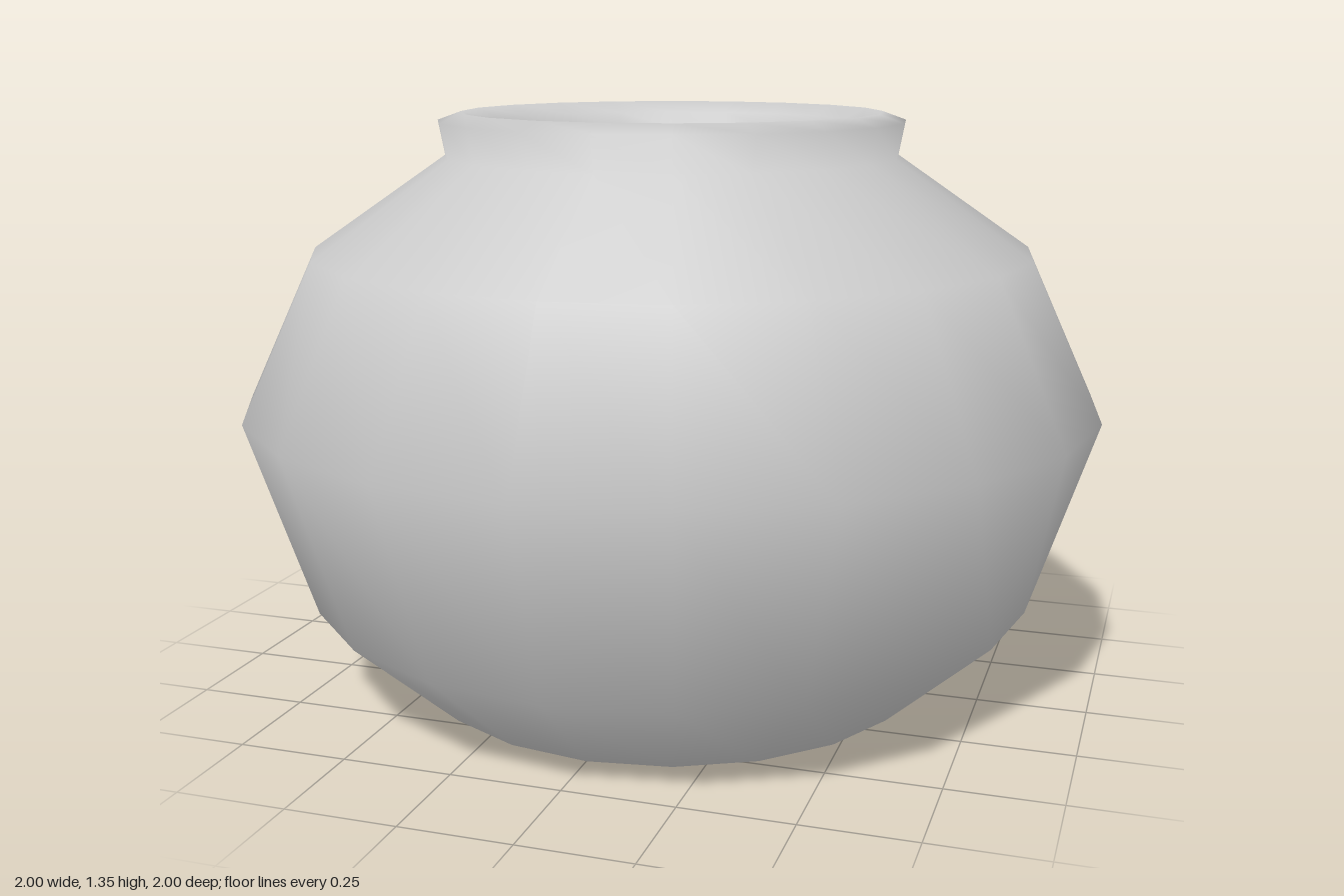
import * as THREE from 'three';

const SIDES = 20;

export function createModel() {
  const clay = new THREE.MeshStandardMaterial({ color: 0xcccccc });
  clay.name = 'grey clay';
  const group = new THREE.Group();
  group.name = 'pot';

  const add = (name, geometry) => {
    const mesh = new THREE.Mesh(geometry, clay);
    mesh.name = name;
    group.add(mesh);
    return mesh;
  };
  const lathe = (profile) =>
    new THREE.LatheGeometry(profile.map(([r, y]) => new THREE.Vector2(r, y)), SIDES);

  // Round body, neck and rolled lip, down to the inside of the mouth
  add('bodyAndRim', lathe([
    [0.6, 0], [0.85, 0.225], [1, 0.68], [0.835, 1.035], [0.525, 1.25],
    [0.54, 1.33], [0.485, 1.35], [0.435, 1.325], [0.42, 1.29],
  ]));

  // Straight wall inside the neck
  add('mouthWall', lathe([[0.42, 1.29], [0.42, 1.17]]));

  // Level surface inside the mouth
  const fill = add('fillSurface', new THREE.CircleGeometry(0.42, SIDES));
  fill.rotation.x = -Math.PI / 2;
  fill.position.y = 1.17;

  // Flat underside
  const base = add('base', new THREE.CircleGeometry(0.6, SIDES));
  base.rotation.x = Math.PI / 2;

  return group;
}
